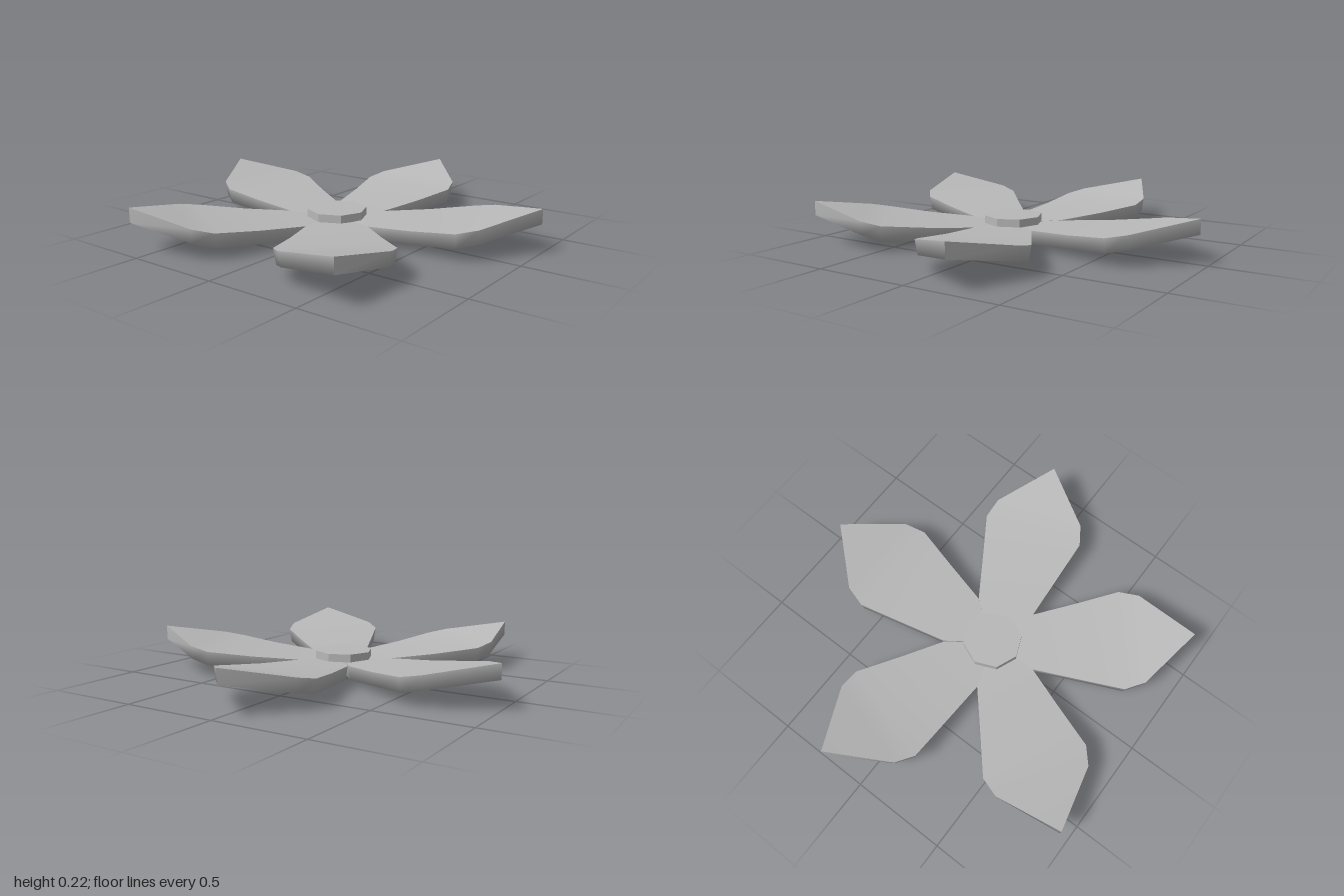
import * as THREE from 'three';

// Petal cross-sections: distance from the centre, half width, top and bottom heights
const SECTIONS = [
  [0, 0, 0.085, 0],
  [0.21, 0.153, 0.095, 0.02],
  [0.45, 0.213, 0.112, 0.04],
  [0.68, 0.272, 0.137, 0.06],
  [0.785, 0.242, 0.158, 0.085],
  [1.045, 0, 0.222, 0.145],
];
// Petal directions in degrees, clockwise from the back
const ANGLES = [0, 72.2, 142.8, 214.9, 286.7];
const CENTRE_Z = 0.09;

function petalGeometry() {
  const pos = [], index = [];
  const quad = (a, b, c, d) => index.push(a, b, c, a, c, d);
  // Six points per section: two for the crisp top, four for the soft rim and underside
  for (const [r, h, top, bottom] of SECTIONS) {
    const inner = Math.max(0, h - 0.012);
    pos.push(-h, top, -r, h, top, -r);
    pos.push(-h, top, -r, -inner, bottom, -r, inner, bottom, -r, h, top, -r);
  }
  for (let i = 0; i < SECTIONS.length - 1; i++) {
    const a = i * 6, b = a + 6;
    quad(a, a + 1, b + 1, b);
    for (let k = 2; k < 5; k++) quad(a + k, b + k, b + k + 1, a + k + 1);
  }
  const geometry = new THREE.BufferGeometry();
  geometry.setAttribute('position', new THREE.Float32BufferAttribute(pos, 3));
  geometry.setIndex(index);
  geometry.computeVertexNormals();
  return geometry;
}

export function createModel() {
  const flower = new THREE.Group();
  flower.name = 'flower';
  const grey = new THREE.MeshStandardMaterial({ color: 0xb8b8b8 });
  grey.name = 'light grey';

  // Five upturned petals around the centre
  const geometry = petalGeometry();
  ANGLES.forEach((angle, i) => {
    const petal = new THREE.Mesh(geometry, grey);
    petal.name = `petal${i + 1}`;
    petal.rotation.y = -THREE.MathUtils.degToRad(angle);
    petal.position.z = CENTRE_Z;
    flower.add(petal);
  });

  // Eight-sided centre disc with hard edges
  const discGeometry = new THREE.CylinderGeometry(0.155, 0.155, 0.08, 8).toNonIndexed();
  discGeometry.computeVertexNormals();
  const disc = new THREE.Mesh(discGeometry, grey);
  disc.name = 'centreDisc';
  disc.position.set(0, 0.093, CENTRE_Z);
  flower.add(disc);

  return flower;
}
